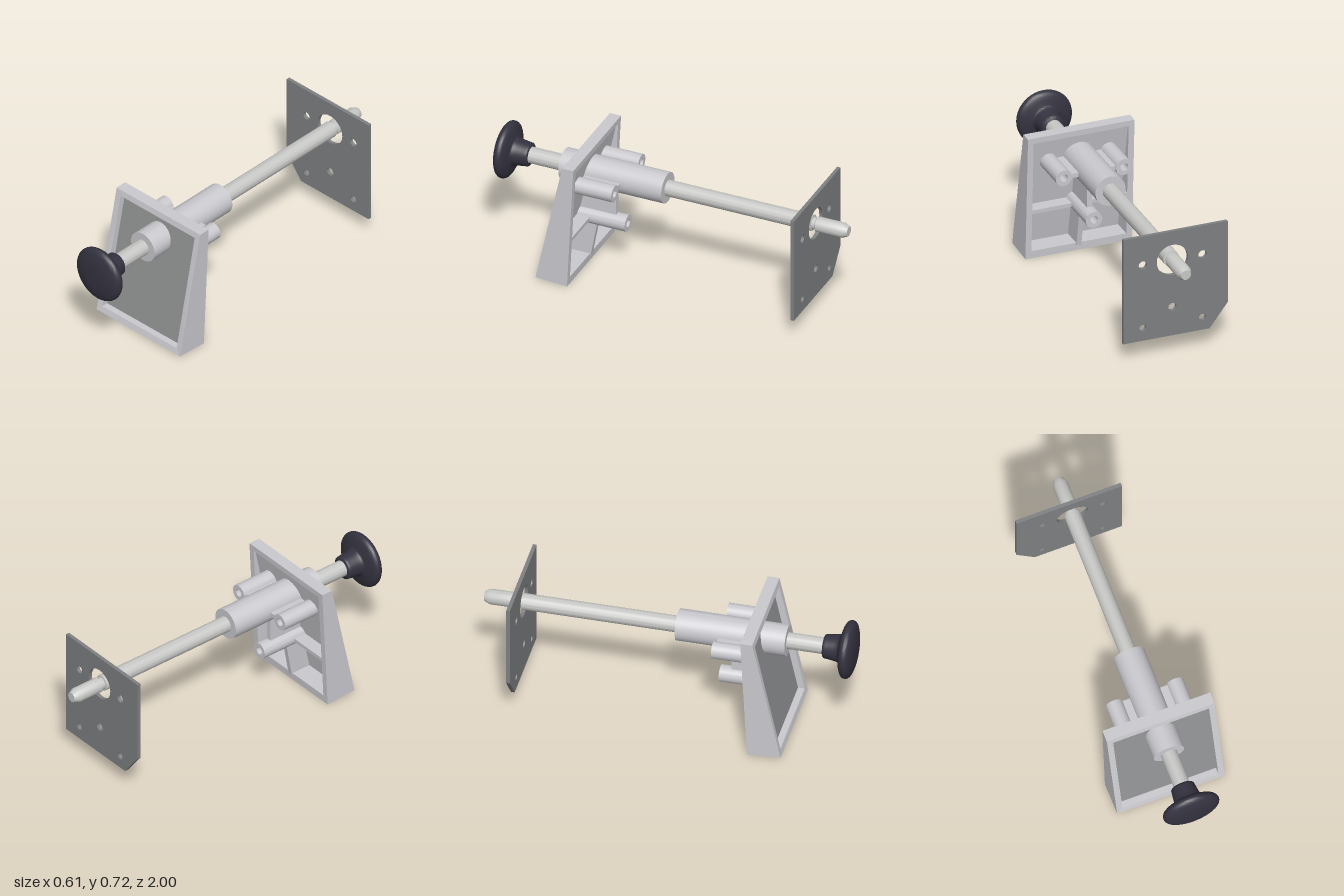
import * as THREE from 'three';
import { toCreasedNormals } from 'three/addons/utils/BufferGeometryUtils.js';

const CX = 0.005, CY = 0.553; // plunger axis

const material = (name, color) => {
  const m = new THREE.MeshStandardMaterial({ color });
  m.name = name;
  return m;
};

export function createModel() {
  const root = new THREE.Group();
  root.name = 'plungerAssembly';
  const body = material('light grey plastic', 0xcac9ce);
  const steel = material('pale steel', 0xc8c8c6);
  const panelGrey = material('panel grey', 0x8f9091);
  const plateGrey = material('plate grey', 0x7e8081);
  const dark = material('dark knob', 0x34323f);

  const add = (name, geometry, mat) => {
    const mesh = new THREE.Mesh(geometry, mat);
    mesh.name = name;
    root.add(mesh);
    return mesh;
  };

  // Turned part along z; profile points are [radius, z] with z ascending
  const turned = (name, profile, mat, x = CX, y = CY, crease = 0.6) => {
    const lathe = new THREE.LatheGeometry(profile.map(([r, z]) => new THREE.Vector2(r, z)), 40);
    lathe.rotateX(Math.PI / 2).translate(x, y, 0);
    return add(name, toCreasedNormals(lathe, crease), mat);
  };

  const rect = (Type, x0, x1, y0, y1) => new Type([
    new THREE.Vector2(x0, y0), new THREE.Vector2(x1, y0),
    new THREE.Vector2(x1, y1), new THREE.Vector2(x0, y1)]);

  // Extrudes a shape between two z surfaces that depend on height
  const between = (name, shape, back, front, mat) => {
    const geo = new THREE.ExtrudeGeometry(shape, { depth: 1, bevelEnabled: false });
    const p = geo.attributes.position;
    for (let i = 0; i < p.count; i++) {
      const y = p.getY(i), isFront = p.getZ(i) > 0.5;
      p.setZ(i, isFront ? front(y) : back(y));
      if (isFront && y < 0.001) p.setY(i, 0.011); // underside rises to the front
    }
    geo.computeVertexNormals();
    return add(name, geo, mat);
  };

  // Wedge housing: outer frame, sloping floor and inlaid front panel
  const front = y => 0.663 - 0.212 * y;
  const rear = y => 0.482 - 0.05 * y;
  const floorFront = y => front(y) - 0.041;
  const floorBack = y => front(y) - 0.06;
  const frame = rect(THREE.Shape, -0.297, 0.305, 0, 0.72);
  frame.holes.push(rect(THREE.Path, -0.264, 0.272, 0.043, 0.688));
  between('housingFrame', frame, rear, front, body);
  const inner = () => rect(THREE.Shape, -0.264, 0.272, 0.043, 0.688);
  between('housingFloor', inner(), floorBack, floorFront, body);
  between('frontPanel', inner(), y => floorFront(y) + 0.0005, y => floorFront(y) + 0.005, panelGrey);

  // Stiffening ribs behind the floor
  between('crossRib', rect(THREE.Shape, -0.264, 0.272, 0.265, 0.287), rear, floorBack, body);
  between('lowerRib', rect(THREE.Shape, CX - 0.014, CX + 0.014, 0.03, 0.25),
    y => 0.482 - 0.18 * y, floorBack, body);
  between('upperRib', rect(THREE.Shape, CX - 0.014, CX + 0.014, 0.28, 0.5), () => 0.33, floorBack, body);
  between('postWeb', rect(THREE.Shape, CX - 0.135, CX + 0.135, CY - 0.012, CY + 0.012),
    () => 0.275, () => 0.48, body);

  // Guide barrel and three hollow screw posts
  turned('guideBarrel', [[0, 0.04], [0.085, 0.04], [0.085, 0.63], [0, 0.63]], body);
  for (const [x, y, end] of [[-0.17, 0, 0.49], [0.17, 0, 0.49], [0, -0.277, 0.555]])
    turned('screwPost', [[0, 0.39], [0.022, 0.39], [0.022, 0.267], [0.046, 0.267], [0.046, end], [0, end]],
      body, CX + x, CY + y);

  // Plunger shaft with a retaining groove and tapered tip
  turned('plungerShaft', [[0, -1], [0.027, -1], [0.041, -0.97], [0.041, -0.82], [0.033, -0.815],
    [0.033, -0.797], [0.044, -0.795], [0.044, 0.86], [0, 0.86]], steel);

  // Mushroom knob
  const knobCurve = new THREE.SplineCurve([[0.064, 0.83], [0.069, 0.87], [0.076, 0.908], [0.09, 0.916],
    [0.125, 0.926], [0.148, 0.938], [0.156, 0.956], [0.148, 0.974], [0.125, 0.986], [0.085, 0.996],
    [0.04, 0.9995], [0, 1]].map(([r, z]) => new THREE.Vector2(r, z)));
  const knobProfile = knobCurve.getPoints(33).map(p => [Math.max(p.x, 0), p.y]);
  turned('knob', [[0, 0.825], [0.059, 0.825], ...knobProfile], dark, CX, CY, 0.9);

  // Rear mounting plate with one clipped corner
  const plate = new THREE.Shape([[-0.205, 0.11], [0.282, 0.11], [0.282, 0.72], [-0.308, 0.72], [-0.308, 0.245]]
    .map(([x, y]) => new THREE.Vector2(x, y)));
  const holes = [[CX, CY, 0.088], [-0.165, CY, 0.023], [0.172, CY, 0.023], [CX, 0.277, 0.023],
    [-0.165, 0.184, 0.019], [0.172, 0.184, 0.019]];
  for (const [x, y, r] of holes)
    plate.holes.push(new THREE.Path().absarc(x, y, r, 0, Math.PI * 2, true));
  const plateGeo = new THREE.ExtrudeGeometry(plate, { depth: 0.02, bevelEnabled: false, curveSegments: 16 });
  add('mountingPlate', plateGeo.translate(0, 0, -0.81), plateGrey);

  return root;
}
